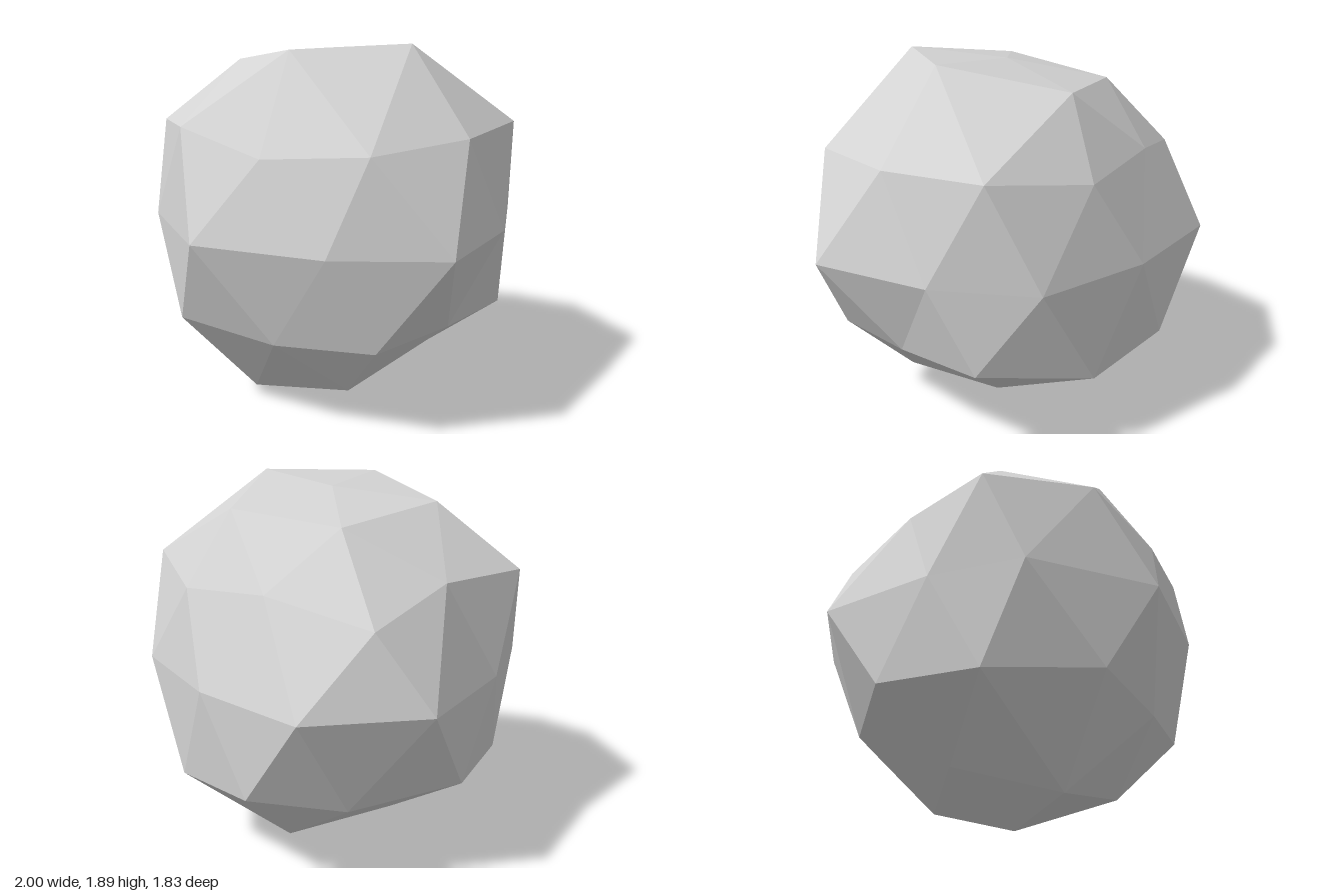
import * as THREE from 'three';

// A faceted boulder: a five-sided icosphere whose rings are pushed in and out.
const MID = 0.987; // height of the flat equator
const topPole = [-0.03, 1.85, -0.06];
const bottomPole = [-0.03, 0, -0.055];

// Rings run from +x towards +z, five points each
const crown = [[0.47, 1.89, -0.06], [0.145, 1.87, 0.435], [-0.44, 1.785, 0.257], [-0.425, 1.735, -0.39], [0.123, 1.78, -0.58]];
const upper = [[0.83, 1.475, -0.06], [0.23, 1.4, 0.7], [-0.78, 1.46, 0.505], [-0.78, 1.36, -0.545], [0.22, 1.415, -0.785]];
const upperMid = [[0.71, 1.445, 0.48], [-0.285, 1.498, 0.76], [-0.77, 1.485, -0.06], [-0.28, 1.46, -0.73], [0.717, 1.493, -0.575]];
const lower = [[0.695, 0.508, 0.415], [-0.29, 0.527, 0.797], [-0.904, 0.528, -0.055], [-0.29, 0.51, -0.88], [0.715, 0.543, -0.514]];
const lowerMid = [[0.745, 0.533, -0.055], [0.235, 0.484, 0.64], [-0.72, 0.505, 0.45], [-0.64, 0.465, -0.56], [0.24, 0.457, -0.848]];
const base = [[0.375, 0.17, 0.268], [-0.17, 0.068, 0.418], [-0.455, 0.235, -0.055], [-0.178, 0.143, -0.51], [0.335, 0.23, -0.32]];

// Equator of ten points as x, z
const equator = [
  [1, 0.238], [0.588, 0.635], [-0.03, 0.915], [-0.658, 0.668], [-0.865, 0.235],
  [-1, -0.385], [-0.642, -0.875], [-0.025, -0.917], [0.567, -0.783], [0.85, -0.343],
].map(([x, z]) => [x, MID, z]);

function boulderGeometry() {
  const positions = [];
  const face = (...corners) => corners.forEach((p) => positions.push(...p));
  // One large triangle split in four at its edge points
  const split = (a, b, c, ab, bc, ca) => {
    face(a, ab, ca);
    face(b, bc, ab);
    face(c, ca, bc);
    face(ab, bc, ca);
  };

  for (let i = 0; i < 5; i++) {
    const n = (i + 1) % 5;
    const e0 = equator[2 * i];
    const e1 = equator[2 * i + 1];
    const e2 = equator[2 * n];
    split(topPole, upper[n], upper[i], crown[n], upperMid[i], crown[i]);
    split(upper[i], upper[n], lower[i], upperMid[i], e1, e0);
    split(lower[n], lower[i], upper[n], lowerMid[n], e1, e2);
    split(bottomPole, lower[i], lower[n], base[i], lowerMid[n], base[n]);
  }

  const geometry = new THREE.BufferGeometry();
  geometry.setAttribute('position', new THREE.Float32BufferAttribute(positions, 3));
  geometry.computeVertexNormals(); // unshared corners give flat facets
  return geometry;
}

export function createModel() {
  const stone = new THREE.MeshStandardMaterial({ color: 0xd4d4d4, flatShading: true });
  stone.name = 'pale stone grey';

  const boulder = new THREE.Mesh(boulderGeometry(), stone);
  boulder.name = 'boulder';

  const model = new THREE.Group();
  model.name = 'rock';
  model.add(boulder);
  return model;
}
